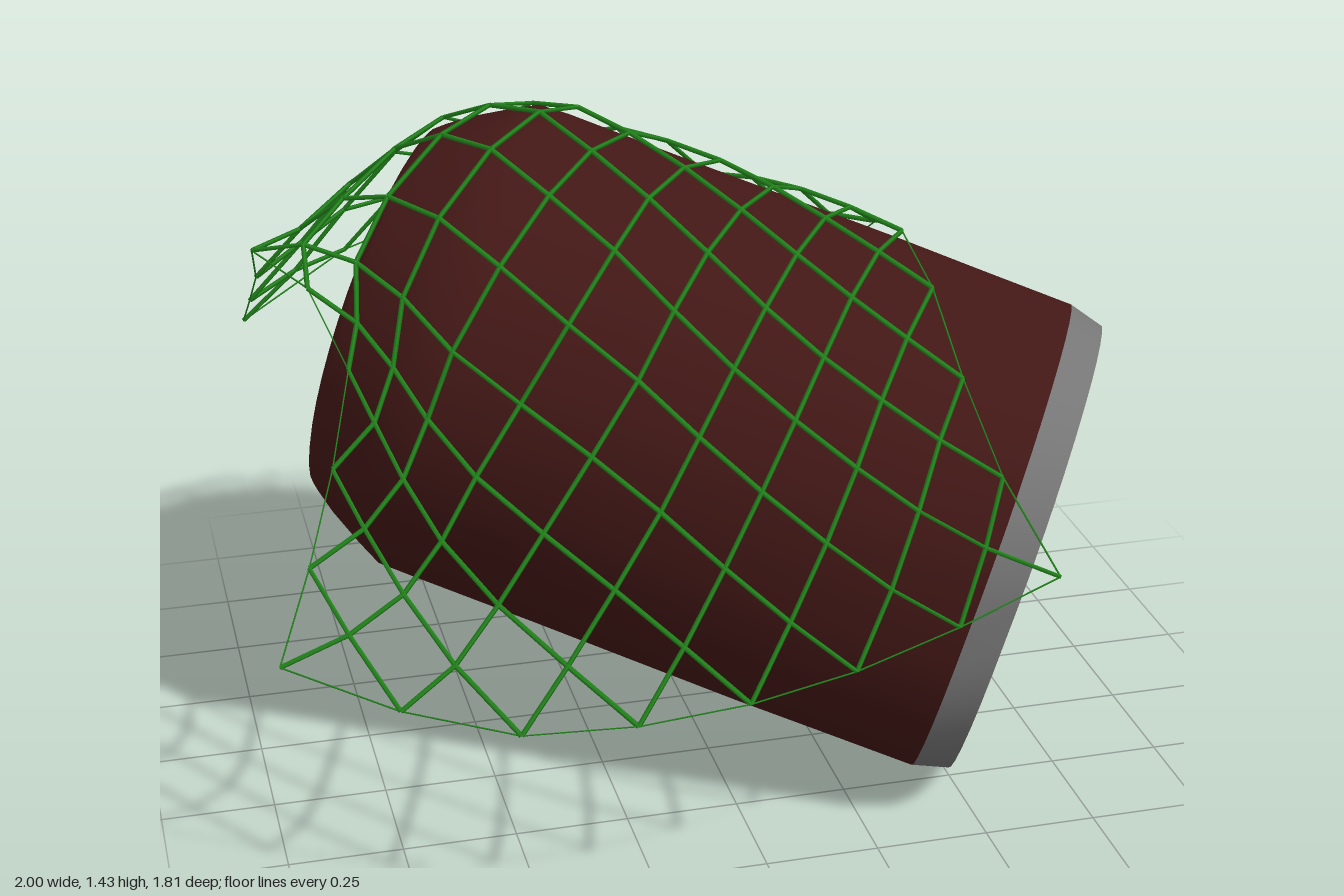
import * as THREE from 'three';
import { mergeGeometries } from 'three/addons/utils/BufferGeometryUtils.js';

const red = new THREE.MeshStandardMaterial({ color: 0x431816, side: THREE.DoubleSide });
const metal = new THREE.MeshStandardMaterial({ color: 0x767676, side: THREE.DoubleSide });
const green = new THREE.MeshStandardMaterial({ color: 0x23871c });

// Tilted can frame: origin at the base centre, local y runs towards the lid
const BASE = new THREE.Vector3(0.735, 0.49, 0.31);
const AXIS = new THREE.Vector3(-0.866, 0.275, -0.418).normalize();
const SIDE = new THREE.Vector3(-0.435, 0, 0.9).normalize();
const LID = 1.49;

// Body profile: radius, distance from the base
const PROFILE = [[0.535, 0.08], [0.541, 0.3], [0.547, 0.5], [0.551, 0.75], [0.555, 1], [0.562, 1.3], [0.56, 1.37],
  [0.53, 1.43], [0.485, 1.51], [0.45, 1.56], [0.438, 1.575], [0.422, 1.58]];

// Dents: the base end is squashed sideways and the underside bulges a little
function dent(geo) {
  const pos = geo.attributes.position;
  for (let i = 0; i < pos.count; i++) {
    const x = pos.getX(i), y = pos.getY(i), z = pos.getZ(i);
    const k = Math.max(0, 1 - y / 1.3);
    const turn = (Math.atan2(z, x) - 2.15) / 0.45;
    const bulge = 1 + 0.07 * Math.exp(-turn * turn) * Math.max(0, Math.sin(Math.PI * y / 1.37));
    pos.setX(i, (x * (1 + 0.035 * k) + Math.max(0, z) * 0.2 * k) * bulge);
    pos.setZ(i, z * (z > 0 ? 1 : 1 - 0.03 * k) * bulge);
  }
  geo.computeVertexNormals();
  return geo;
}

const lathe = (pts) => new THREE.LatheGeometry(pts.map(([r, s]) => new THREE.Vector2(r, s)), 40);

function add(parent, name, geometry, material) {
  const mesh = new THREE.Mesh(geometry, material);
  mesh.name = name;
  parent.add(mesh);
}

// Flat shape lying on the lid plane, raised by its depth
function plate(shape, depth, y) {
  const geo = new THREE.ExtrudeGeometry(shape, { depth, bevelEnabled: false, curveSegments: 20 });
  return geo.rotateX(-Math.PI / 2).translate(0, y, 0);
}

function ellipse(Kind, x, y, rx, ry, turn = 0) {
  const path = new Kind();
  path.absellipse(x, y, rx, ry, 0, Math.PI * 2, false, turn);
  return path;
}

function makeCan() {
  const can = new THREE.Group();
  can.name = 'can';
  const cross = new THREE.Vector3().crossVectors(SIDE, AXIS);
  can.applyMatrix4(new THREE.Matrix4().makeBasis(SIDE, AXIS, cross).setPosition(BASE));

  add(can, 'body', dent(lathe(PROFILE)), red);
  add(can, 'bottomRing', dent(lathe([[0.512, 0], [0.535, 0.08]])), metal);
  add(can, 'bottomDisc', dent(new THREE.CircleGeometry(0.512, 40).rotateX(Math.PI / 2)), metal);
  add(can, 'lidWall', lathe([[0.422, 1.58], [0.412, 1.57], [0.4, LID]]), metal);

  // Lid with the drinking hole
  const lid = ellipse(THREE.Shape, 0, 0, 0.405, 0.405);
  lid.holes.push(ellipse(THREE.Path, 0.165, 0.08, 0.09, 0.17, 0.3));
  add(can, 'lid', plate(lid, 0.008, LID - 0.008), metal);

  // Pull tab: rounded plate with a finger hole, a nose and a rivet
  const tab = new THREE.Group();
  tab.name = 'pullTab';
  tab.rotation.y = 0.4;
  can.add(tab);
  const outline = new THREE.Shape();
  outline.moveTo(-0.19, -0.06).lineTo(-0.02, -0.07);
  outline.quadraticCurveTo(0.06, -0.065, 0.06, 0).quadraticCurveTo(0.06, 0.065, -0.02, 0.07);
  outline.lineTo(-0.19, 0.06).quadraticCurveTo(-0.22, 0.055, -0.22, 0);
  outline.quadraticCurveTo(-0.22, -0.055, -0.19, -0.06);
  outline.holes.push(ellipse(THREE.Path, -0.14, 0, 0.045, 0.04));
  outline.holes.push(ellipse(THREE.Path, 0, 0, 0.04, 0.046));
  add(tab, 'tabPlate', plate(outline, 0.014, LID + 0.012), metal);
  add(tab, 'rivet', new THREE.CylinderGeometry(0.028, 0.032, 0.025, 16).translate(0, LID + 0.012, 0), metal);
  add(tab, 'tabBridge', new THREE.BoxGeometry(0.03, 0.01, 0.11).translate(-0.07, LID + 0.03, 0), metal);
  return can;
}

// Control points of the draped net, rows from back to front
const DRAPE = [
  [[-0.92, 0.8, -0.65], [-0.45, 0.95, -0.88], [-0.06, 0.9, -0.85], [0.3, 0.76, -0.76], [0.56, 0.68, -0.72]],
  [[-0.92, 0.9, -0.5], [-0.48, 1.14, -0.7], [-0.1, 1.1, -0.66], [0.25, 0.95, -0.56], [0.55, 0.84, -0.54]],
  [[-0.91, 1, -0.35], [-0.5, 1.32, -0.45], [-0.15, 1.34, -0.42], [0.2, 1.16, -0.36], [0.53, 1, -0.35]],
  [[-0.93, 1.19, -0.07], [-0.6, 1.28, 0], [-0.2, 1.34, 0], [0.15, 1.22, 0], [0.48, 1.13, 0]],
  [[-0.78, 1.07, 0.16], [-0.6, 0.97, 0.28], [-0.2, 1.08, 0.35], [0.14, 1.08, 0.42], [0.47, 1.05, 0.42]],
  [[-0.86, 0.8, 0.38], [-0.6, 0.69, 0.55], [-0.2, 0.77, 0.64], [0.16, 0.83, 0.71], [0.5, 0.86, 0.72]],
  [[-1, 0.54, 0.61], [-0.6, 0.44, 0.81], [-0.2, 0.48, 0.91], [0.2, 0.54, 0.89], [0.6, 0.66, 0.84]],
].map((row) => new THREE.CatmullRomCurve3(row.map((p) => new THREE.Vector3(...p))));

// Radius of the can at distance s from its base
function radiusAt(s) {
  const k = PROFILE.findIndex((p) => p[1] > s);
  if (k < 1) return 0;
  const [[r0, s0], [r1, s1]] = [PROFILE[k - 1], PROFILE[k]];
  return r0 + (r1 - r0) * (s - s0) / (s1 - s0);
}

// Net point, pushed out of the can where it would sink in
function netPoint(u, v) {
  const p = new THREE.CatmullRomCurve3(DRAPE.map((c) => c.getPoint(u))).getPointAt(v);
  const s = p.clone().sub(BASE).dot(AXIS);
  const centre = BASE.clone().addScaledVector(AXIS, s);
  const out = p.clone().sub(centre);
  const r = radiusAt(s);
  if (r > 0 && out.length() < r + 0.022) p.copy(centre).add(out.setLength(r + 0.022));
  return p;
}

function strand(a, b, r) {
  const dir = b.clone().sub(a);
  const geo = new THREE.CylinderGeometry(r, r, dir.length(), 4, 1, true);
  const q = new THREE.Quaternion().setFromUnitVectors(new THREE.Vector3(0, 1, 0), dir.normalize());
  return geo.applyQuaternion(q).translate(...a.clone().add(b).multiplyScalar(0.5).toArray());
}

function makeNet() {
  const net = new THREE.Group();
  net.name = 'net';
  const nu = 14, nv = 16, mesh = [], border = [];
  const at = (i, j) => netPoint(i / nu, j / nv);
  // Diamond meshes
  for (let i = 0; i < nu; i++) {
    for (let j = 0; j <= nv; j++) {
      if ((i + j) % 2) continue;
      for (const dj of [-1, 1]) {
        if (j + dj >= 0 && j + dj <= nv) mesh.push(strand(at(i, j), at(i + 1, j + dj), 0.0055));
      }
    }
  }
  // Thin border cord
  for (const j of [0, nv]) for (let i = 0; i < nu; i += 2) border.push(strand(at(i, j), at(i + 2, j), 0.002));
  for (const i of [0, nu]) for (let j = 0; j < nv; j += 2) border.push(strand(at(i, j), at(i, j + 2), 0.002));
  add(net, 'netMesh', mergeGeometries(mesh), green);
  add(net, 'netBorder', mergeGeometries(border), green);
  return net;
}

export function createModel() {
  const model = new THREE.Group();
  model.name = 'canUnderNet';
  model.add(makeCan(), makeNet());
  return model;
}
